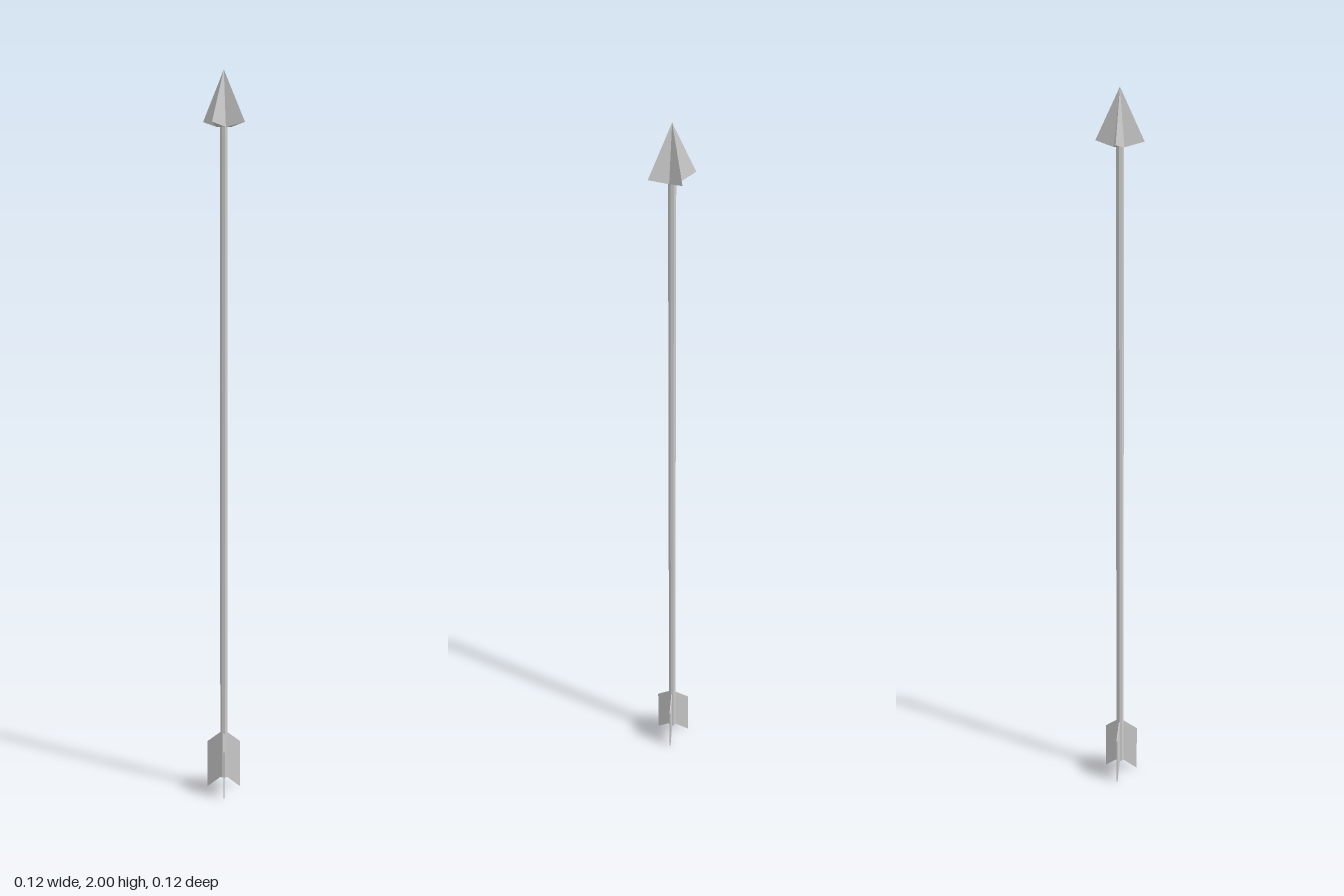
import * as THREE from 'three';

const material = new THREE.MeshStandardMaterial({ color: 0xcccccc, flatShading: true, side: THREE.DoubleSide });

function addMesh(parent, name, geometry) {
  const mesh = new THREE.Mesh(geometry, material);
  mesh.name = name;
  parent.add(mesh);
  return mesh;
}

// Four-bladed head: a star ring joined to the tip above and the socket below
function headGeometry() {
  const points = 8;
  const ring = [];
  for (let i = 0; i < points; i++) {
    const angle = (i / points) * Math.PI * 2;
    const blade = i % 2 === 0;
    const r = blade ? 0.062 : 0.019;
    ring.push([Math.sin(angle) * r, blade ? 1.869 : 1.856, Math.cos(angle) * r]);
  }
  const tip = [0, 2, 0];
  const base = [0, 1.856, 0];
  const positions = [];
  for (let i = 0; i < points; i++) {
    const a = ring[i];
    const b = ring[(i + 1) % points];
    positions.push(...tip, ...a, ...b, ...base, ...b, ...a);
  }
  const geometry = new THREE.BufferGeometry();
  geometry.setAttribute('position', new THREE.Float32BufferAttribute(positions, 3));
  geometry.computeVertexNormals();
  return geometry;
}

// Swept feather outline, extruded thinly
function featherGeometry() {
  const thickness = 0.003;
  const outline = new THREE.Shape([
    new THREE.Vector2(0.004, 0.045),
    new THREE.Vector2(0.053, 0),
    new THREE.Vector2(0.053, 0.14),
    new THREE.Vector2(0.004, 0.183),
  ]);
  const geometry = new THREE.ExtrudeGeometry(outline, { depth: thickness, bevelEnabled: false });
  return geometry.translate(0, 0, -thickness / 2);
}

export function createModel() {
  const arrow = new THREE.Group();
  arrow.name = 'arrow';

  // Shaft
  const bottom = 0.043, top = 1.87;
  const shaft = addMesh(arrow, 'shaft', new THREE.CylinderGeometry(0.0105, 0.0105, top - bottom, 8));
  shaft.position.y = (top + bottom) / 2;

  // Head
  addMesh(arrow, 'arrowhead', headGeometry());

  // Three feathers around the tail
  const fletching = new THREE.Group();
  fletching.name = 'fletching';
  const feather = featherGeometry();
  for (let i = 0; i < 3; i++) {
    addMesh(fletching, 'feather', feather).rotation.y = Math.PI + (i * Math.PI * 2) / 3;
  }
  arrow.add(fletching);

  return arrow;
}
